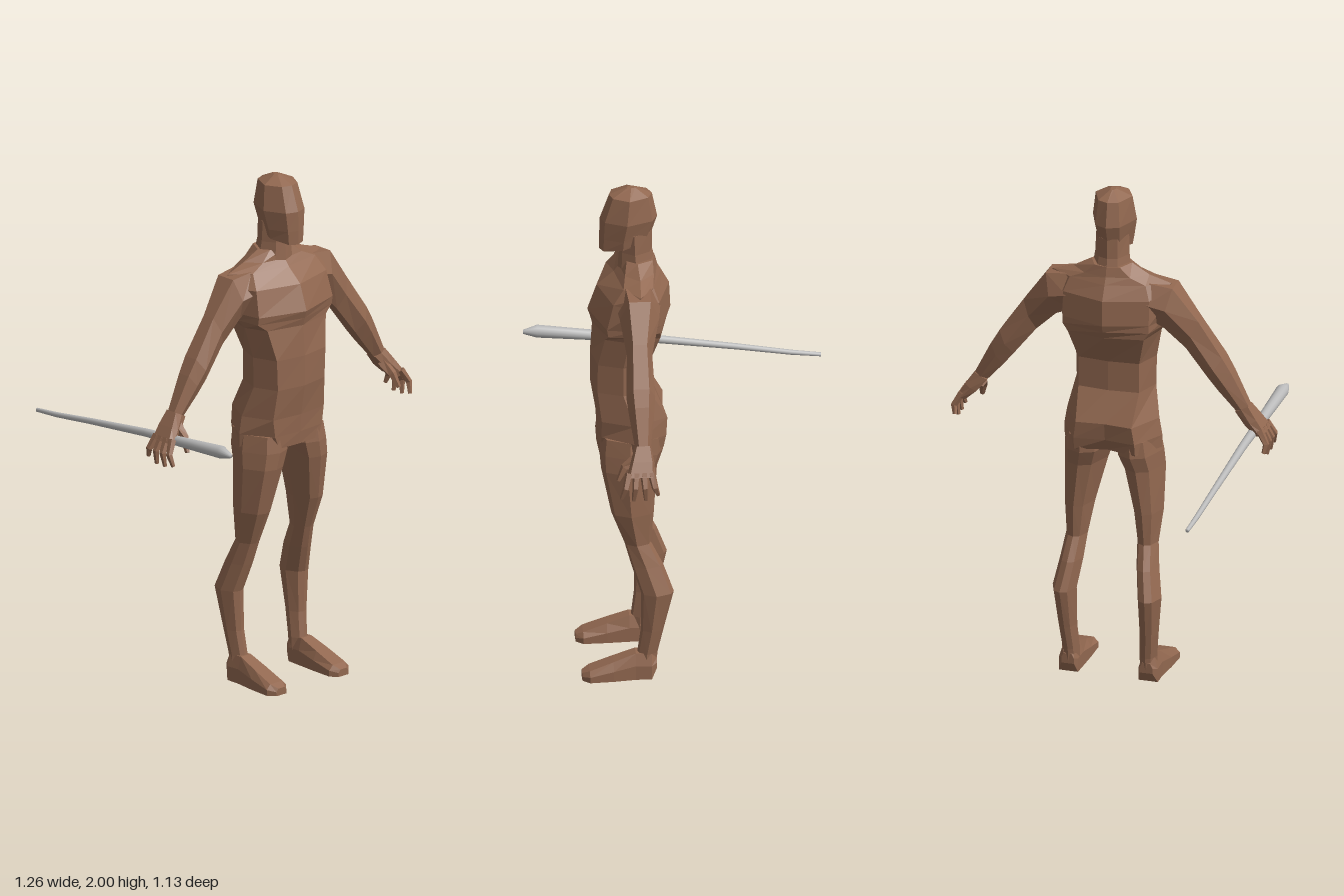
import * as THREE from 'three';

const V = (x, y, z) => new THREE.Vector3(x, y, z);

// Skin a list of equal-sized rings, cap both ends and make it face outward.
function loft(rings, side = 1, smooth = false) {
  const n = rings[0].length;
  const pts = rings.flat().map(p => V(p.x * side, p.y, p.z));
  const faces = [];
  for (let r = 0; r + 1 < rings.length; r++) {
    for (let i = 0; i < n; i++) {
      const a = r * n + i, b = r * n + (i + 1) % n;
      faces.push([a, b, b + n], [a, b + n, a + n]);
    }
  }
  for (const [start, end] of [[0, false], [(rings.length - 1) * n, true]]) {
    const c = V(0, 0, 0);
    for (let i = 0; i < n; i++) c.addScaledVector(pts[start + i], 1 / n);
    const k = pts.push(c) - 1;
    for (let i = 0; i < n; i++) {
      const a = start + i, b = start + (i + 1) % n;
      faces.push(end ? [a, b, k] : [b, a, k]);
    }
  }
  let volume = 0;
  for (const [a, b, c] of faces) volume += pts[a].dot(V(0, 0, 0).crossVectors(pts[b], pts[c]));
  if (volume < 0) faces.forEach(f => f.reverse());
  let g = new THREE.BufferGeometry().setFromPoints(pts);
  g.setIndex(faces.flat());
  if (!smooth) g = g.toNonIndexed();
  g.computeVertexNormals();
  return g;
}

// Horizontal eight-sided ring inside a rectangle.
function octagon(y, x0, x1, z0, z1, k = 0.55) {
  const cx = (x0 + x1) / 2, cz = (z0 + z1) / 2, w = (x1 - x0) / 2, d = (z1 - z0) / 2;
  return [[0, 1], [k, 0.85], [1, 0.1], [k, -0.8], [0, -1], [-k, -0.8], [-1, 0.1], [-k, 0.85]]
    .map(([a, b]) => V(cx + a * w, y, cz + b * d));
}

// Rings of given radii following a path.
function tubeRings(path, radii, n) {
  return path.map((p, i) => {
    const dir = path[Math.min(i + 1, path.length - 1)].clone().sub(path[Math.max(i - 1, 0)]).normalize();
    const u = V(0, 0, 0).crossVectors(dir, Math.abs(dir.y) > 0.7 ? V(0, 0, 1) : V(0, 1, 0)).normalize();
    const v = V(0, 0, 0).crossVectors(dir, u);
    return Array.from({ length: n }, (_, j) => {
      const t = (j / n) * Math.PI * 2;
      return p.clone().addScaledVector(u, Math.cos(t) * radii[i]).addScaledVector(v, Math.sin(t) * radii[i]);
    });
  });
}

export function createModel() {
  const skin = new THREE.MeshStandardMaterial({ color: 0x926850 });
  skin.name = 'brown skin';
  const metal = new THREE.MeshStandardMaterial({ color: 0xbababa });
  metal.name = 'light grey';
  const model = new THREE.Group();
  model.name = 'man with staff';
  const add = (name, geometry, material = skin) => {
    const m = new THREE.Mesh(geometry, material);
    m.name = name;
    model.add(m);
  };

  // Torso: y, front z, front corner x z, side x z, back corner x z, back z
  const torso = [
    [0.95, 0.325, 0.10, 0.32, 0.192, 0.20, 0.12, 0.085, 0.115],
    [1.00, 0.33, 0.12, 0.32, 0.194, 0.20, 0.12, 0.075, 0.09],
    [1.07, 0.335, 0.13, 0.32, 0.182, 0.20, 0.11, 0.07, 0.08],
    [1.19, 0.355, 0.12, 0.335, 0.157, 0.24, 0.12, 0.14, 0.13],
    [1.31, 0.355, 0.125, 0.335, 0.16, 0.24, 0.12, 0.14, 0.13],
    [1.43, 0.347, 0.15, 0.31, 0.185, 0.22, 0.15, 0.10, 0.075],
    [1.46, 0.355, 0.19, 0.30, 0.202, 0.20, 0.17, 0.10, 0.06],
    [1.49, 0.365, 0.19, 0.305, 0.21, 0.20, 0.17, 0.10, 0.05],
    [1.59, 0.33, 0.18, 0.28, 0.235, 0.19, 0.17, 0.105, 0.055],
    [1.645, 0.265, 0.16, 0.24, 0.235, 0.18, 0.15, 0.125, 0.085],
    [1.672, 0.245, 0.10, 0.23, 0.15, 0.175, 0.09, 0.12, 0.10],
    [1.71, 0.24, 0.055, 0.22, 0.08, 0.18, 0.05, 0.12, 0.11],
  ].map(([y, f, fx, fz, sx, sz, bx, bz, b]) => [
    V(0, y, f), V(fx, y, fz), V(sx, y, sz), V(bx, y, bz),
    V(0, y, b), V(-bx, y, bz), V(-sx, y, sz), V(-fx, y, fz),
  ]);
  add('torso', loft(torso));

  // Neck and head
  add('neck', loft([octagon(1.66, -0.08, 0.08, 0.10, 0.25), octagon(1.74, -0.068, 0.068, 0.12, 0.245),
    octagon(1.82, -0.065, 0.065, 0.12, 0.25)]));
  const jaw = octagon(1.765, -0.066, 0.066, 0.13, 0.32);
  jaw.forEach(p => { p.y -= (p.z - 0.22) * 0.2; });
  add('head', loft([jaw, octagon(1.80, -0.073, 0.073, 0.125, 0.32), octagon(1.875, -0.087, 0.087, 0.10, 0.318),
    octagon(1.972, -0.073, 0.073, 0.12, 0.283), octagon(2.0, -0.012, 0.012, 0.18, 0.215)]));

  // Arms: outer x y, inner x y, centre z, half depth
  const arm = [
    [0.16, 1.65, 0.15, 1.50, 0.185, 0.085],
    [0.25, 1.638, 0.21, 1.475, 0.185, 0.075],
    [0.345, 1.505, 0.295, 1.39, 0.192, 0.048],
    [0.44, 1.365, 0.385, 1.275, 0.195, 0.055],
    [0.475, 1.305, 0.425, 1.225, 0.195, 0.048],
    [0.54, 1.175, 0.49, 1.15, 0.195, 0.031],
  ].map(([ox, oy, ix, iy, z, d]) => {
    const mx = (ox + ix) / 2, my = (oy + iy) / 2;
    return [V(ox, oy, z + d * 0.55), V(mx, my, z + d), V(ix, iy, z + d * 0.5),
      V(ix, iy, z - d * 0.5), V(mx, my, z - d), V(ox, oy, z - d * 0.55)];
  });
  // Palm: same layout, widening toward the knuckles
  const palm = [
    [0.54, 1.175, 0.49, 1.15, 0.195, 0.031],
    [0.575, 1.125, 0.53, 1.10, 0.20, 0.045],
    [0.608, 1.075, 0.575, 1.06, 0.208, 0.055],
  ].map(([ox, oy, ix, iy, z, d]) => [V(ox, oy, z + d * 0.8), V((ox + ix) / 2, (oy + iy) / 2, z + d),
    V(ix, iy, z + d * 0.8), V(ix, iy, z - d * 0.8), V((ox + ix) / 2, (oy + iy) / 2, z - d), V(ox, oy, z - d * 0.8)]);

  // Legs: y, inner x, outer x, back z, front z
  const leg = [
    [1.0, 0.005, 0.185, 0.085, 0.32], [0.935, 0.004, 0.196, 0.085, 0.327], [0.87, 0.028, 0.2, 0.11, 0.322],
    [0.69, 0.075, 0.196, 0.123, 0.285], [0.56, 0.098, 0.182, 0.135, 0.235], [0.47, 0.105, 0.195, 0.09, 0.21],
    [0.36, 0.12, 0.215, 0.05, 0.175], [0.2, 0.123, 0.198, 0.088, 0.175], [0.1, 0.118, 0.188, 0.11, 0.188],
    [0.05, 0.118, 0.188, 0.115, 0.19],
  ].map(([y, xi, xo, zb, zf]) => octagon(y, xi, xo, zb, zf));

  // Feet: z, inner x, outer x, bottom y, top y
  const foot = [
    [0.115, 0.13, 0.18, 0.04, 0.08], [0.135, 0.12, 0.195, 0, 0.1], [0.195, 0.117, 0.195, 0, 0.105],
    [0.28, 0.113, 0.205, 0, 0.075], [0.37, 0.112, 0.21, 0, 0.042], [0.398, 0.135, 0.185, 0, 0.028],
  ].map(([z, xi, xo, y0, y1]) => {
    const c = (xo - xi) * 0.18, ym = y0 + (y1 - y0) * 0.55;
    return [V(xi, y0, z), V(xi, ym, z), V(xi + c, y1, z), V(xo - c, y1, z), V(xo, ym, z), V(xo, y0, z)];
  });

  for (const [label, s] of [['left', 1], ['right', -1]]) {
    add(label + ' arm', loft(arm, s));
    add(label + ' palm', loft(palm, s));
    // Fingers fan out and curl inward
    for (let i = 0; i < 4; i++) {
      const z = 0.168 + i * 0.028, spread = (i - 1.3) * 0.009, drop = [0.02, 0, 0, 0.01][i];
      const path = [V(0.588, 1.085, z), V(0.617, 1.035, z + spread), V(0.61, 0.982 + drop, z + spread * 2)];
      add(label + ' finger', loft(tubeRings(path, [0.016, 0.013, 0.008], 5), s));
    }
    const thumb = [V(0.525, 1.12, 0.215), V(0.535, 1.085, 0.265), V(0.545, 1.035, 0.29)];
    add(label + ' thumb', loft(tubeRings(thumb, [0.022, 0.017, 0.009], 5), s));
    add(label + ' leg', loft(leg, s));
    add(label + ' foot', loft(foot, s));
  }

  // Staff: thick pointed front end, thin slightly curved tail
  const staff = [V(-0.575, 1.098, 0.563), V(-0.573, 1.1, 0.51), V(-0.565, 1.083, 0.33), V(-0.553, 1.06, 0.07),
    V(-0.54, 1.02, -0.25), V(-0.531, 0.992, -0.45), V(-0.526, 0.981, -0.563)];
  add('staff', loft(tubeRings(staff, [0.008, 0.025, 0.021, 0.016, 0.012, 0.01, 0.008], 14), 1, true), metal);

  return model;
}
